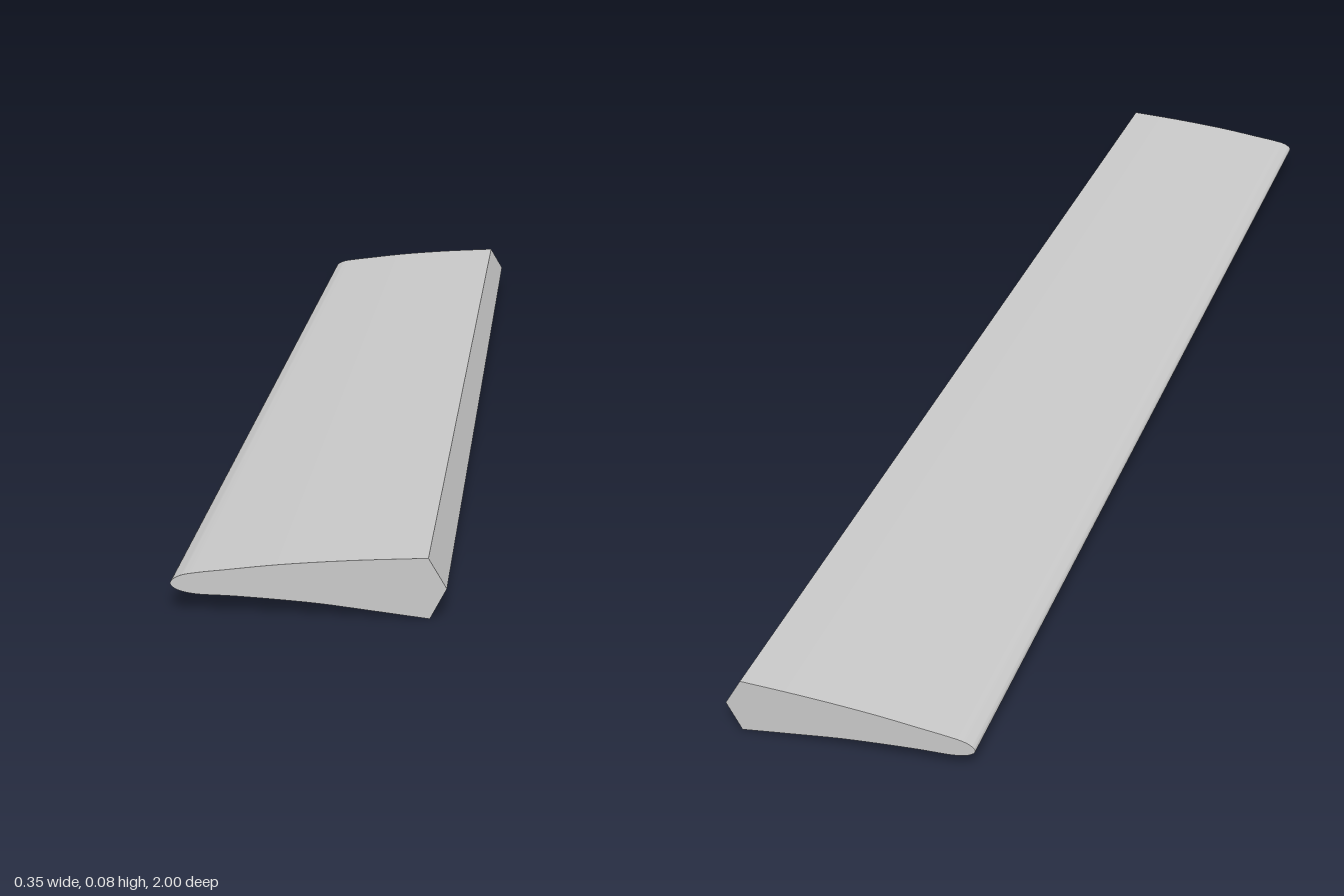
import * as THREE from 'three';
import { toCreasedNormals } from 'three/addons/utils/BufferGeometryUtils.js';

export function createModel() {
  const model = new THREE.Group();
  model.name = 'blade';
  const material = new THREE.MeshStandardMaterial({ color: 0xcccccc });

  // Cross-section: pointed wedge on the +x edge, rounded nose on the -x edge
  const section = new THREE.Shape();
  section.moveTo(0.151, 0);
  section.lineTo(0.172, 0.04);
  section.lineTo(0.149, 0.079);
  section.splineThru([
    [0.056, 0.0735], [-0.033, 0.0657], [-0.104, 0.0567], [-0.136, 0.0525],
    [-0.158, 0.0485], [-0.17, 0.0425], [-0.1735, 0.0365], [-0.169, 0.031],
    [-0.158, 0.0265], [-0.137, 0.0235], [-0.087, 0.0222], [0.003, 0.0167],
    [0.074, 0.009], [0.151, 0],
  ].map(([x, y]) => new THREE.Vector2(x, y)));

  // Straight slat running the full length along z
  const geometry = new THREE.ExtrudeGeometry(section, {
    depth: 2, bevelEnabled: false, curveSegments: 4,
  });
  geometry.translate(0, 0, -1);
  const slat = new THREE.Mesh(toCreasedNormals(geometry, 0.6), material);
  slat.name = 'slat';
  model.add(slat);
  return model;
}
